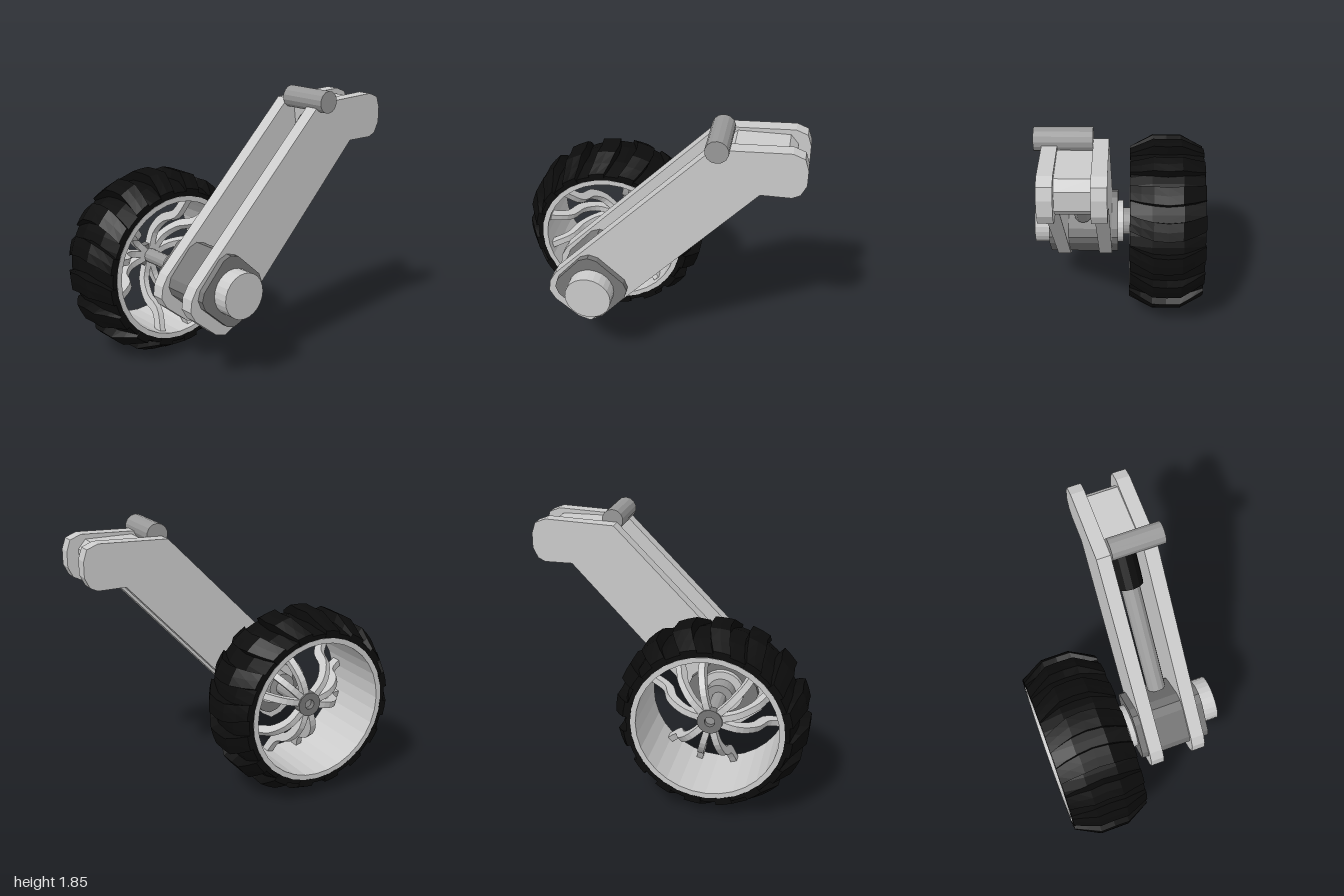
import * as THREE from 'three';

const mat = (color) => new THREE.MeshStandardMaterial({ color, flatShading: true });
const V2 = (p) => new THREE.Vector2(p[0], p[1]);

export function createModel() {
  const root = new THREE.Group();
  const grey = mat(0xcccccc), dark = mat(0x777777), mid = mat(0x999999), black = mat(0x0c0c0c);
  const CX = -0.36, CY = 0.645, ZC = -0.345, HALF = 0.265;

  const add = (name, geometry, material, parent = root) => {
    const mesh = new THREE.Mesh(geometry, material);
    mesh.name = name;
    parent.add(mesh);
    return mesh;
  };
  // Outline in x/y extruded from z0 to z1
  const plate = (name, pts, z0, z1, material) => {
    const g = new THREE.ExtrudeGeometry(new THREE.Shape(pts.map(V2)), { depth: z1 - z0, bevelEnabled: false });
    return add(name, g.translate(0, 0, z0), material);
  };
  // Cylinder along z
  const pin = (name, x, y, r, z0, z1, material, sides = 24) => {
    const g = new THREE.CylinderGeometry(r, r, z1 - z0, sides).rotateX(Math.PI / 2);
    return add(name, g.translate(x, y, (z0 + z1) / 2), material);
  };
  // Cylinder between two points
  const rod = (name, a, b, r, material, sides) => {
    const d = b.clone().sub(a);
    const m = add(name, new THREE.CylinderGeometry(r, r, d.length(), sides), material);
    m.position.copy(a).add(b).multiplyScalar(0.5);
    m.quaternion.setFromUnitVectors(new THREE.Vector3(0, 1, 0), d.normalize());
    return m;
  };
  // Ring turned around z from a closed (radius, z) profile
  const turned = (name, pts, material, parent, sides = 32) =>
    add(name, new THREE.LatheGeometry([...pts, pts[0]].map(V2), sides).rotateX(Math.PI / 2), material, parent);

  // Two bent swing arm plates
  const armOutline = [
    [-0.67, 0.56], [-0.63, 0.49], [-0.47, 0.36], [-0.39, 0.335], [-0.315, 0.38],
    [0.72, 1.48], [0.915, 1.48], [0.965, 1.505], [1, 1.575], [1, 1.68],
    [0.975, 1.755], [0.9, 1.785], [0.417, 1.765], [-0.62, 0.71], [-0.66, 0.64],
  ];
  plate('frontArmPlate', armOutline, 0.36, 0.455, grey);
  plate('backArmPlate', armOutline, 0.05, 0.145, grey);

  // Spacer block between the upper ends of the plates
  plate('upperSpacer', [
    [0.5, 1.56], [0.56, 1.5], [0.86, 1.5], [0.92, 1.56], [0.92, 1.69],
    [0.87, 1.75], [0.54, 1.75], [0.48, 1.7],
  ], 0.145, 0.36, grey);
  pin('upperCrossPin', 0.45, 1.777, 0.075, 0.145, 0.505, mid, 14);

  // Axle block: a square on its corner with cut corners
  const block = [];
  for (let i = 0; i < 4; i++) {
    for (const [a, r] of [[-0.26, 0.235], [0, 0.247], [0.26, 0.235]]) {
      const t = i * Math.PI / 2 + a + 0.06;
      block.push([CX - 0.005 + r * Math.cos(t), CY + r * Math.sin(t)]);
    }
  }
  plate('axleBlock', block, 0.005, 0.5, dark);
  pin('axleCap', CX, CY, 0.155, 0.5, 0.61, grey);
  pin('axleFlange', CX, CY, 0.155, -0.035, 0.005, grey);
  pin('axleCollar', CX, CY, 0.1, -0.14, -0.035, mid);
  pin('axleShaft', CX, CY, 0.05, -0.46, -0.14, mid, 12);

  // Damper between the plates
  const p = (x, y) => new THREE.Vector3(x, y, 0.255);
  rod('damperRod', p(-0.205, 0.805), p(0.36, 1.4), 0.065, mid, 12);
  rod('damperSleeve', p(0.35, 1.385), p(0.56, 1.61), 0.095, black, 12);

  // Wheel, built around its own centre
  const wheel = new THREE.Group();
  wheel.name = 'wheel';
  wheel.position.set(CX, CY, ZC);
  root.add(wheel);

  turned('rim', [[0.47, -HALF], [0.505, -HALF], [0.505, HALF], [0.47, HALF]], grey, wheel);
  turned('tyre', [
    [0.5, -0.262], [0.535, -0.262], [0.575, -0.11], [0.575, 0.11], [0.535, 0.262], [0.5, 0.262],
  ], black, wheel, 48);
  turned('hubRing', [[0.035, -0.15], [0.085, -0.15], [0.085, -0.09], [0.035, -0.09]], dark, wheel, 14);

  // Tread bars: boxes wrapped round the tyre, lower toward the shoulders
  const SEG = 6;
  for (let i = 0; i < 16; i++) {
    const g = new THREE.BoxGeometry(1, 1, 2 * HALF, 2, 1, SEG);
    const pos = g.attributes.position;
    const levels = [-HALF, -0.185, -0.1, 0, 0.1, 0.185, HALF];
    for (let k = 0; k < pos.count; k++) {
      const z = levels[Math.round((pos.getZ(k) / (2 * HALF) + 0.5) * SEG)];
      const drop = Math.max(0, Math.abs(z) - 0.1) / (HALF - 0.1);
      const r = pos.getY(k) > 0 ? 0.642 - 0.087 * drop : 0.505;
      const a = i * Math.PI / 8 + 0.065 - pos.getX(k) * 0.2 + 0.1 * (z / HALF) ** 2;
      pos.setXYZ(k, r * Math.cos(a), r * Math.sin(a), z);
    }
    add('treadBar', g, black, wheel);
  }

  // Spokes: three groups of three, curving from the hub forward to the rim
  const path = new THREE.CatmullRomCurve3(
    [[0.05, -0.11], [0.18, -0.1], [0.29, -0.01], [0.35, 0.12], [0.48, 0.2]]
      .map(([r, z]) => new THREE.Vector3(r, 0, z)));
  const spokes = new THREE.Group();
  spokes.name = 'spokes';
  wheel.add(spokes);
  const N = 14;
  const section = new THREE.Shape([[-0.022, -0.03], [0.022, -0.03], [0.022, 0.03], [-0.022, 0.03]].map(V2));
  const spokeGeometry = new THREE.ExtrudeGeometry(section, { steps: N, extrudePath: path, bevelEnabled: false });
  for (const base of [45, 165, 285]) {
    for (const off of [-30, 0, 30]) {
      add('spoke', spokeGeometry, grey, spokes).rotation.z = THREE.MathUtils.degToRad(base + off);
    }
  }
  return root;
}
